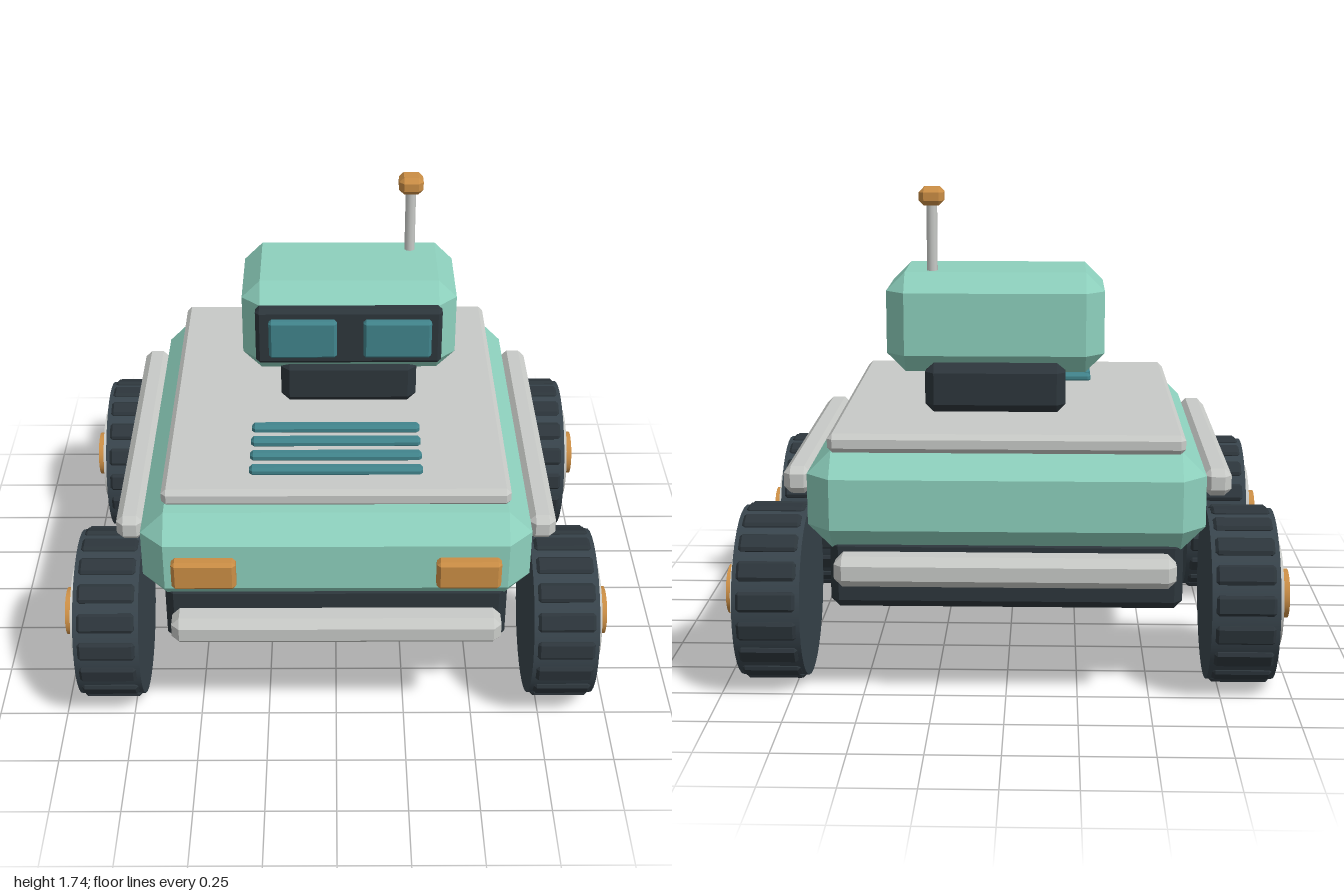
import * as THREE from 'three';
import { ConvexGeometry } from 'three/addons/geometries/ConvexGeometry.js';

const material = (name, color) => {
  const m = new THREE.MeshStandardMaterial({ color });
  m.name = name;
  return m;
};

// Box with every edge cut at 45 degrees: the hull of 24 corner points
function chamferBox(w, h, d, c) {
  const pts = [];
  for (const sx of [-1, 1]) for (const sy of [-1, 1]) for (const sz of [-1, 1]) {
    for (const [a, b, e] of [[0, c, c], [c, 0, c], [c, c, 0]]) {
      pts.push(new THREE.Vector3(sx * (w / 2 - a), sy * (h / 2 - b), sz * (d / 2 - e)));
    }
  }
  return new ConvexGeometry(pts);
}

export function createModel() {
  const mint = material('mint paint', 0x8dd0bd);
  const grey = material('light grey', 0xc8cac7);
  const tyreMat = material('tyre slate', 0x38444c);
  const dark = material('dark slate', 0x2d363c);
  const teal = material('teal glass', 0x41848c);
  const orange = material('amber', 0xcb8e45);

  const model = new THREE.Group();
  model.name = 'roverRobot';

  const add = (parent, name, geometry, mat, x = 0, y = 0, z = 0) => {
    const mesh = new THREE.Mesh(geometry, mat);
    mesh.name = name;
    mesh.position.set(x, y, z);
    parent.add(mesh);
    return mesh;
  };
  // Chamfered box given by its min and max on each axis
  const block = (name, mat, [x0, x1], [y0, y1], [z0, z1], c) =>
    add(model, name, chamferBox(x1 - x0, y1 - y0, z1 - z0, c), mat,
      (x0 + x1) / 2, (y0 + y1) / 2, (z0 + z1) / 2);

  // Body
  block('chassis', dark, [-0.615, 0.615], [0.305, 0.56], [-0.71, 0.71], 0.03);
  block('body', mint, [-0.69, 0.69], [0.52, 0.87], [-0.772, 0.772], 0.085);
  block('deckPlate', grey, [-0.615, 0.615], [0.865, 0.932], [-0.722, 0.65], 0.018);
  for (const z of [0.25, 0.342, 0.435, 0.527]) {
    block('deckVent', teal, [-0.308, 0.308], [0.925, 0.96], [z - 0.021, z + 0.021], 0.011);
  }

  // Bumpers, side rails and headlights
  for (const s of [1, -1]) {
    const bumper = chamferBox(1.16, 0.106, 0.115, 0.028);
    add(model, s > 0 ? 'frontBumper' : 'rearBumper', bumper, grey, 0, 0.49, s * 0.835);
    const rail = chamferBox(0.098, 0.098, 1.225, 0.025);
    add(model, s > 0 ? 'leftRail' : 'rightRail', rail, grey, s * 0.737, 0.738, 0);
    const lamp = chamferBox(0.226, 0.114, 0.054, 0.013);
    add(model, s > 0 ? 'leftHeadlight' : 'rightHeadlight', lamp, orange, s * 0.463, 0.688, 0.795);
  }

  // Wheels: tyre, tread blocks, rim and hub cap, outer side along +x
  const R = 0.304;
  const TREADS = 18;
  const disc = (r, x0, x1, sides) =>
    new THREE.CylinderGeometry(r, r, x1 - x0, sides).rotateZ(-Math.PI / 2).translate((x0 + x1) / 2, 0, 0);
  const tyreGeo = disc(R, -0.117, 0.117, 36);
  const rimGeo = disc(0.19, 0.1, 0.143, 32);
  const capGeo = disc(0.088, 0.12, 0.177, 24);
  const treadGeo = chamferBox(0.205, 0.03, 0.07, 0.01);
  for (const sx of [1, -1]) for (const sz of [1, -1]) {
    const wheel = new THREE.Group();
    wheel.name = `${sz > 0 ? 'front' : 'rear'}${sx > 0 ? 'Left' : 'Right'}Wheel`;
    wheel.position.set(sx * 0.823, 0.315, sz * 0.535);
    if (sx < 0) wheel.rotation.y = Math.PI;
    add(wheel, 'tyre', tyreGeo, tyreMat);
    add(wheel, 'rim', rimGeo, grey);
    add(wheel, 'hubCap', capGeo, orange);
    for (let i = 0; i < TREADS; i++) {
      const a = (i / TREADS) * Math.PI * 2;
      const r = R - 0.004;
      const tread = add(wheel, 'tread', treadGeo, dark, 0, r * Math.cos(a), r * Math.sin(a));
      tread.rotation.x = a;
    }
    model.add(wheel);
  }

  // Neck and head, set slightly toward the left
  block('neck', dark, [-0.205, 0.303], [0.93, 1.11], [-0.375, 0.065], 0.032);
  block('head', mint, [-0.345, 0.445], [1.07, 1.433], [-0.358, 0.09], 0.068);
  block('visor', dark, [-0.293, 0.388], [1.147, 1.37], [0.08, 0.138], 0.015);
  for (const x of [-0.12, 0.225]) {
    block('eye', teal, [x - 0.124, x + 0.124], [1.185, 1.335], [0.125, 0.165], 0.01);
  }

  // Antenna
  add(model, 'antennaRod', new THREE.CylinderGeometry(0.02, 0.02, 0.3, 10), grey, 0.28, 1.54, -0.238);
  add(model, 'antennaTip', chamferBox(0.09, 0.066, 0.09, 0.018), orange, 0.28, 1.702, -0.238);

  return model;
}
